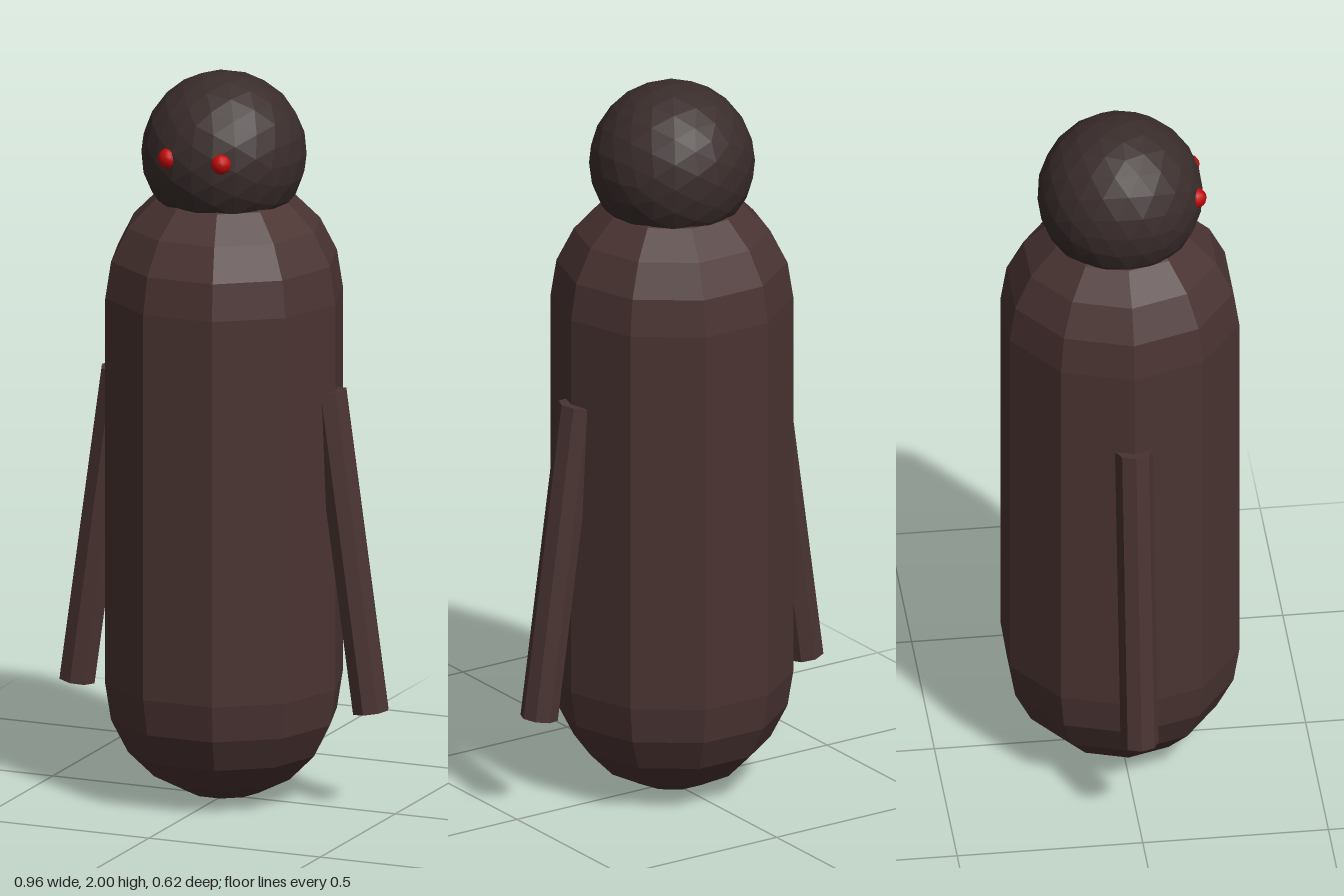
import * as THREE from 'three';

const bodyMat = new THREE.MeshStandardMaterial({ color: 0x4a3432, flatShading: true });
const headMat = new THREE.MeshStandardMaterial({ color: 0x3a2d2c, flatShading: true });
const eyeMat = new THREE.MeshStandardMaterial({ color: 0xc00808 });

export function createModel() {
  const model = new THREE.Group();
  model.name = 'figure';

  const add = (name, geometry, material, x, y, z) => {
    const mesh = new THREE.Mesh(geometry, material);
    mesh.name = name;
    mesh.position.set(x, y, z);
    model.add(mesh);
    return mesh;
  };

  // Ten-sided capsule body, standing on the ground
  add('body', new THREE.CapsuleGeometry(0.325, 1.065, 5, 10), bodyMat, 0, 0.86, 0);

  // Faceted round head sunk into the top of the body
  add('head', new THREE.IcosahedronGeometry(0.222, 3), headMat, 0, 1.778, 0);

  // Mirrored arms, splayed outward, and eyes
  const armGeometry = new THREE.CylinderGeometry(0.051, 0.051, 0.88, 8);
  const eyeGeometry = new THREE.SphereGeometry(0.028, 12, 8);
  for (const [side, s] of [['left', 1], ['right', -1]]) {
    add(side + 'Arm', armGeometry, bodyMat, s * 0.367, 0.714, 0).rotation.z = s * 0.14;
    add(side + 'Eye', eyeGeometry, eyeMat, s * 0.077, 1.8, 0.196);
  }
  return model;
}
